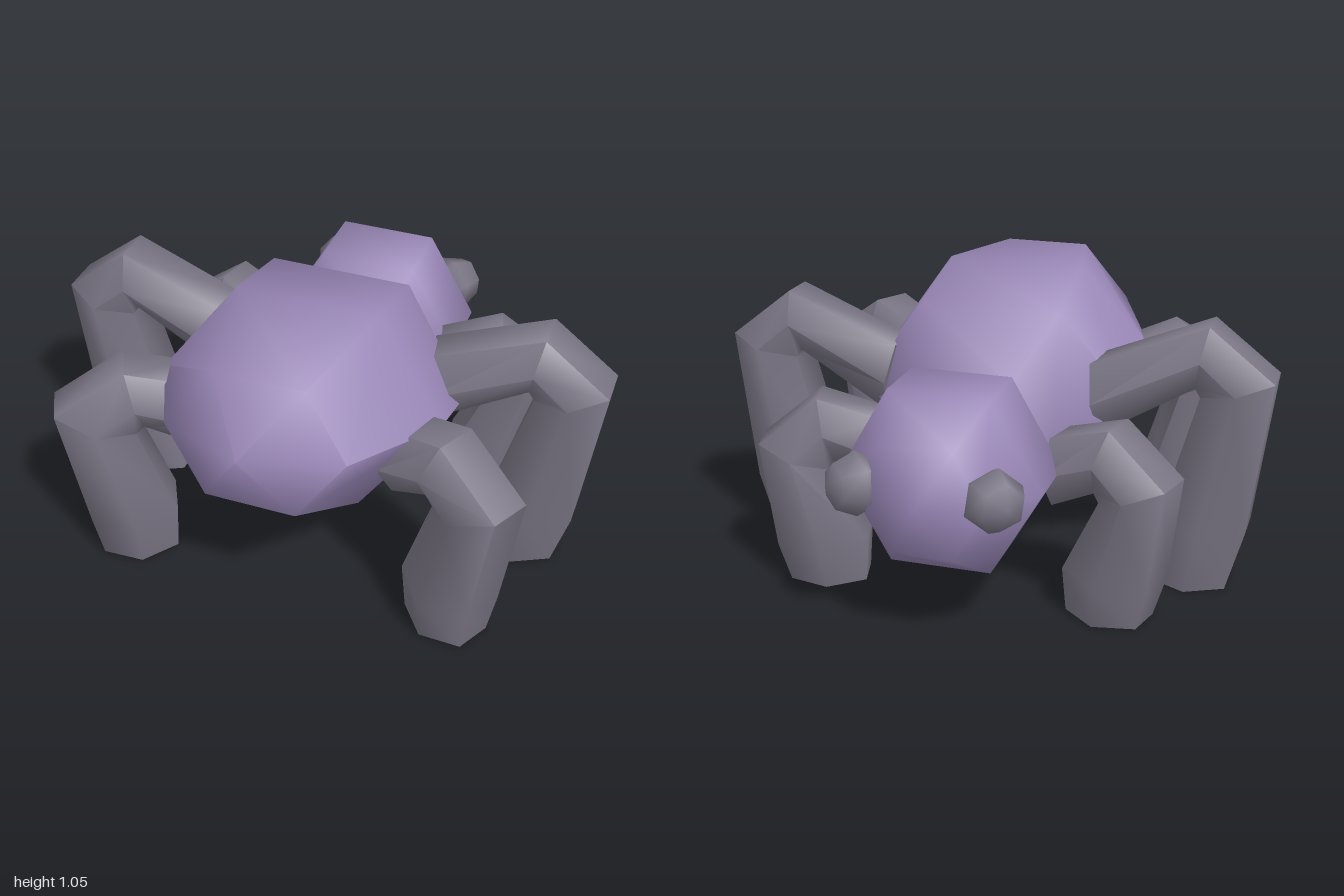
import * as THREE from 'three';
import { toCreasedNormals } from 'three/addons/utils/BufferGeometryUtils.js';

const SIDES = 6;
const UP = new THREE.Vector3(0, 1, 0);

// Six-sided loft in the vertical plane through `base` along `dir`.
// Each section is [outerR, outerY, innerR, innerY, halfWidth].
// Optional tips [r, y] close the ends; otherwise the ends are flat.
function loft(base, dir, sections, startTip, endTip) {
  const side = new THREE.Vector3().crossVectors(UP, dir);
  const place = (r, y, s = 0) =>
    base.clone().addScaledVector(dir, r).addScaledVector(side, s).setY(y);
  const points = [];
  const index = [];
  for (const [or, oy, ir, iy, w] of sections) {
    for (let j = 0; j < SIDES; j++) {
      const a = (j / SIDES) * Math.PI * 2;
      const k = Math.sin(a) / Math.sin(Math.PI / 3) / 2;
      points.push(place((or + ir) / 2 + (or - ir) * k, (oy + iy) / 2 + (oy - iy) * k, w * Math.cos(a)));
    }
  }
  for (let i = 0; i < sections.length - 1; i++) {
    for (let j = 0; j < SIDES; j++) {
      const a = i * SIDES + j;
      const b = i * SIDES + ((j + 1) % SIDES);
      index.push(a, b, a + SIDES, b, b + SIDES, a + SIDES);
    }
  }
  const middle = ([or, oy, ir, iy]) => [(or + ir) / 2, (oy + iy) / 2];
  const last = (sections.length - 1) * SIDES;
  const start = points.push(place(...(startTip || middle(sections[0])))) - 1;
  const end = points.push(place(...(endTip || middle(sections[sections.length - 1])))) - 1;
  for (let j = 0; j < SIDES; j++) {
    const n = (j + 1) % SIDES;
    index.push(start, n, j, end, last + j, last + n);
  }
  const geometry = new THREE.BufferGeometry().setFromPoints(points);
  geometry.setIndex(index);
  return toCreasedNormals(geometry, 1.15);
}

export function createModel() {
  const model = new THREE.Group();
  model.name = 'beetle';
  const purple = new THREE.MeshStandardMaterial({ name: 'purple shell', color: 0x9a88b8 });
  const grey = new THREE.MeshStandardMaterial({ name: 'grey limbs', color: 0x7a7685 });

  const add = (name, geometry, material) => {
    const mesh = new THREE.Mesh(geometry, material);
    mesh.name = name;
    model.add(mesh);
    return mesh;
  };

  const origin = new THREE.Vector3();
  const forward = new THREE.Vector3(0, 0, 1);

  // Tilted abdomen, from the neck to the pointed end
  add('abdomen', loft(origin, forward, [
    [-0.31, 0.77, -0.22, 0.33, 0.29],
    [-0.08, 0.97, 0.11, 0.28, 0.5],
    [0.24, 1.055, 0.43, 0.395, 0.5],
    [0.67, 1.03, 0.78, 0.61, 0.31],
  ], [-0.36, 0.5], [0.87, 0.86]), purple);

  // Round head
  const headY = 0.525;
  const headRing = (z, r) => [z, headY + r * 0.866, z, headY - r * 0.866, r];
  add('head', loft(origin, forward, [
    headRing(-0.8, 0.213),
    headRing(-0.62, 0.35),
    headRing(-0.385, 0.35),
    headRing(-0.21, 0.213),
  ], [-0.87, headY], [-0.135, headY]), purple);

  // Legs: root, two knee sections, shin, foot
  const legs = [
    {
      name: 'FrontLeg', x: 0.4, z: 0.37, angle: 28,
      sections: [
        [-0.02, 0.74, 0, 0.49, 0.14],
        [0.21, 0.81, 0.16, 0.58, 0.145],
        [0.46, 0.65, 0.19, 0.55, 0.145],
        [0.38, 0.17, 0.07, 0.19, 0.155],
        [0.35, 0, 0.08, 0, 0.13],
      ],
    },
    {
      name: 'MiddleLeg', x: 0, z: 0, angle: 0,
      sections: [
        [0.36, 0.79, 0.4, 0.54, 0.14],
        [0.77, 0.96, 0.73, 0.74, 0.14],
        [1.0, 0.78, 0.75, 0.71, 0.145],
        [0.93, 0.22, 0.62, 0.24, 0.16],
        [0.87, 0, 0.6, 0, 0.135],
      ],
    },
    {
      name: 'BackLeg', x: 0.32, z: -0.3, angle: -15,
      sections: [
        [0, 0.62, 0.01, 0.38, 0.14],
        [0.22, 0.69, 0.17, 0.46, 0.14],
        [0.43, 0.52, 0.19, 0.43, 0.145],
        [0.38, 0.14, 0.06, 0.16, 0.155],
        [0.34, 0, 0.07, 0, 0.13],
      ],
    },
  ];

  for (const [label, sign] of [['left', 1], ['right', -1]]) {
    for (const leg of legs) {
      const a = THREE.MathUtils.degToRad(leg.angle);
      const dir = new THREE.Vector3(sign * Math.cos(a), 0, Math.sin(a));
      const base = new THREE.Vector3(sign * leg.x, 0, leg.z);
      add(label + leg.name, loft(base, dir, leg.sections), grey);
    }

    // Eye, with its pole pointing out of the head
    const eye = add(label + 'Eye', new THREE.SphereGeometry(0.107, 6, 4), grey);
    eye.position.set(sign * 0.232, 0.55, -0.763);
    eye.quaternion.setFromUnitVectors(UP, new THREE.Vector3(sign * 0.66, 0.08, -0.75).normalize());
  }
  return model;
}
